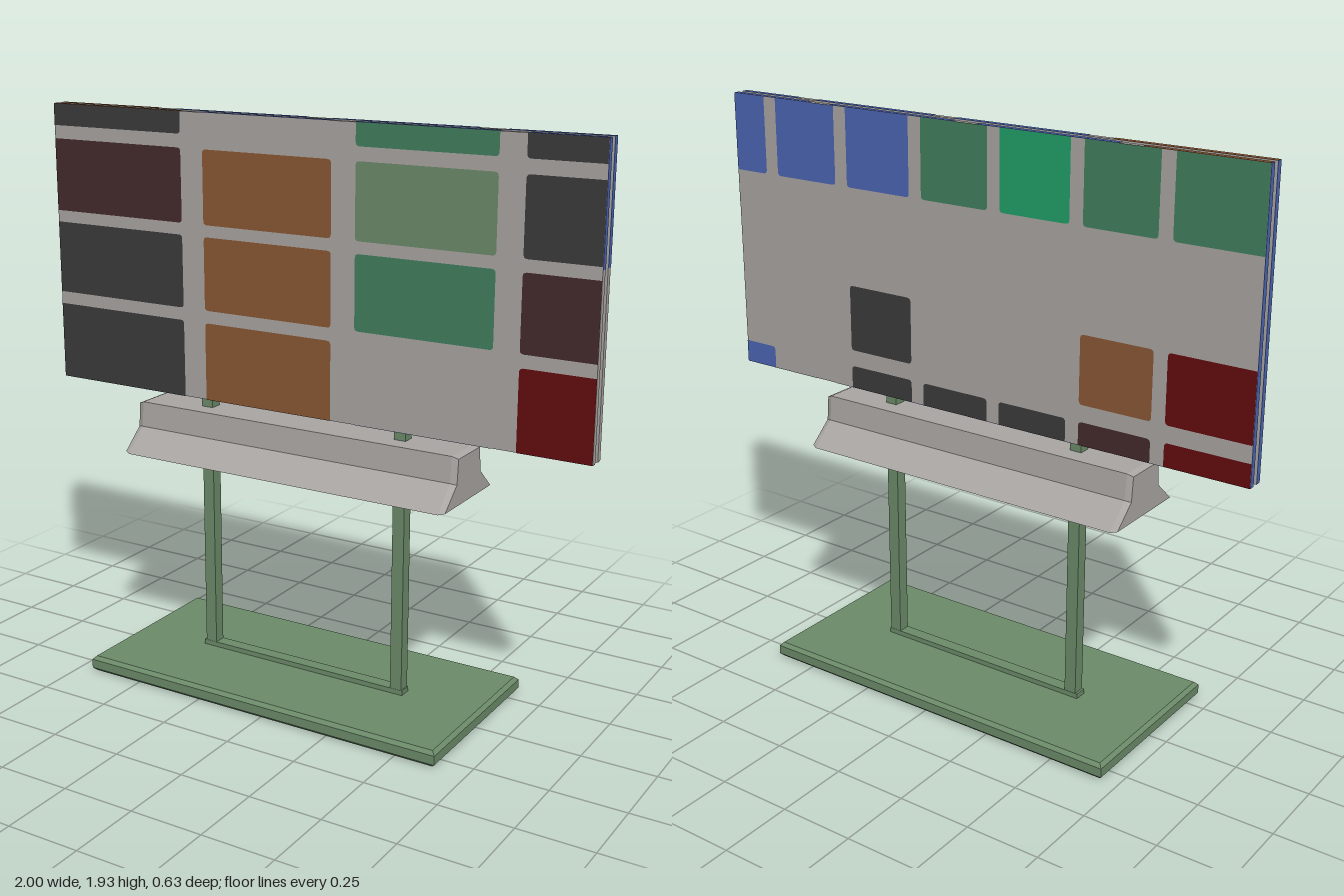
import * as THREE from 'three';

const mat = (name, color) => {
  const m = new THREE.MeshStandardMaterial({ color });
  m.name = name;
  return m;
};

const LEFT = -1, RIGHT = 1, BOTTOM = 0.965, TOP = 1.925; // panel limits
const CENTRE = -0.025; // the stand sits slightly off the panel centre

// Rectangle whose corners are rounded unless they lie on the panel border
function tileShape(x0, x1, y0, y1) {
  const r = (x, y) => (x <= LEFT || x >= RIGHT || y <= BOTTOM || y >= TOP ? 0 : 0.013);
  const a = r(x0, y0), b = r(x1, y0), c = r(x1, y1), d = r(x0, y1);
  const s = new THREE.Shape();
  s.moveTo(x0 + a, y0);
  s.lineTo(x1 - b, y0);
  if (b) s.quadraticCurveTo(x1, y0, x1, y0 + b);
  s.lineTo(x1, y1 - c);
  if (c) s.quadraticCurveTo(x1, y1, x1 - c, y1);
  s.lineTo(x0 + d, y1);
  if (d) s.quadraticCurveTo(x0, y1, x0, y1 - d);
  s.lineTo(x0, y0 + a);
  if (a) s.quadraticCurveTo(x0, y0, x0 + a, y0);
  return s;
}

export function createModel() {
  const model = new THREE.Group();
  model.name = 'displayStand';

  const grey = mat('warm grey', 0xaaa6a3);
  const sage = mat('sage green', 0x6c8c6a);
  const brown = mat('brown', 0x8a5835);
  const dark = mat('charcoal', 0x3b3b3b);
  const maroon = mat('maroon', 0x452b2c);
  const red = mat('dark red', 0x640c0e);
  const green = mat('sea green', 0x42805f);
  const bright = mat('bright green', 0x22a068);
  const blue = mat('blue', 0x4c66b4);

  const add = (parent, name, geometry, material) => {
    const mesh = new THREE.Mesh(geometry, material);
    mesh.name = name;
    parent.add(mesh);
    return mesh;
  };
  // Box given by its limits on each axis
  const box = (parent, name, material, x0, x1, y0, y1, z0, z1) => {
    const m = add(parent, name, new THREE.BoxGeometry(x1 - x0, y1 - y0, z1 - z0), material);
    m.position.set((x0 + x1) / 2, (y0 + y1) / 2, (z0 + z1) / 2);
    return m;
  };

  // Base plate with chamfered edges
  const bev = 0.012;
  const outline = new THREE.Shape([[-0.67, -0.315], [0.67, -0.315], [0.67, 0.315], [-0.67, 0.315]]
    .map(([x, y]) => new THREE.Vector2(x, y)));
  const baseGeo = new THREE.ExtrudeGeometry(outline, {
    depth: 0.055 - 2 * bev, bevelEnabled: true, bevelSegments: 1,
    bevelThickness: bev, bevelSize: bev, bevelOffset: -bev,
  });
  baseGeo.rotateX(-Math.PI / 2).translate(CENTRE, bev, 0);
  add(model, 'basePlate', baseGeo, sage);

  // Post frame: two uprights joined at the foot and between the panels
  const frame = new THREE.Group();
  frame.name = 'postFrame';
  model.add(frame);
  for (const [name, x] of [['rightPost', -0.391], ['leftPost', 0.35]]) {
    box(frame, name, sage, x - 0.021, x + 0.021, 0.05, 1.32, -0.021, 0.021);
  }
  box(frame, 'footBar', sage, -0.42, 0.375, 0.05, 0.072, -0.022, 0.022);
  box(frame, 'topBar', sage, -0.42, 0.375, 1.28, 1.32, -0.02, 0.02);

  // Flared tray: profile across z, extruded along x with chamfered ends
  const profile = new THREE.Shape([[-0.172, 0.772], [0.172, 0.772], [0.091, 0.85], [0.083, 0.936],
    [-0.083, 0.936], [-0.091, 0.85]].map(([x, y]) => new THREE.Vector2(x, y)));
  const endBevel = 0.02;
  const trayGeo = new THREE.ExtrudeGeometry(profile, {
    depth: 1.22 - 2 * endBevel, bevelEnabled: true, bevelSegments: 1,
    bevelThickness: endBevel, bevelSize: 0.008, bevelOffset: -0.008,
  });
  trayGeo.rotateY(Math.PI / 2).translate(CENTRE - 0.61 + endBevel, 0, 0);
  add(model, 'tray', trayGeo, grey);

  // Panel with coloured tiles on its outer face and bands along its edges
  function panel(name, side, columns, rows, colours, bands) {
    const g = new THREE.Group();
    g.name = name;
    model.add(g);
    const z0 = side > 0 ? 0.01 : -0.03, z1 = z0 + 0.02;
    box(g, 'board', grey, LEFT, RIGHT, BOTTOM, TOP, z0, z1);
    rows.forEach(([y0, y1], i) => columns.forEach(([x0, x1], j) => {
      const colour = colours[i][j];
      if (!colour) return;
      // The rear face is drawn mirrored, then turned round
      const shape = side > 0 ? tileShape(x0, x1, y0, y1) : tileShape(-x1, -x0, y0, y1);
      const tile = add(g, 'tile', new THREE.ShapeGeometry(shape, 3), colour);
      tile.rotation.y = side > 0 ? 0 : Math.PI;
      tile.position.z = side * 0.0315;
    }));
    const t = 0.001;
    bands.forEach(([x0, x1], i) => {
      box(g, 'topBand', i ? blue : brown, x0, x1, TOP, TOP + t, z0, z1);
      box(g, 'bottomBand', blue, x0, x1, BOTTOM - t, BOTTOM, z0, z1);
    });
    box(g, 'leftEdgeBand', blue, RIGHT, RIGHT + t, 1.55, TOP, z0, z1);
    box(g, 'rightEdgeBand', blue, LEFT - t, LEFT, BOTTOM, TOP, z0, z1);
  }

  const frontColumns = [[-1, -0.473], [-0.386, 0.1], [0.187, 0.667], [0.754, 1]];
  panel('frontPanel', 1, frontColumns,
    [[1.852, TOP], [1.56, 1.807], [1.273, 1.52], [BOTTOM, 1.23]],
    [
      [dark, null, green, dark],
      [maroon, brown, sage, dark],
      [dark, brown, green, maroon],
      [dark, brown, null, red],
    ], frontColumns);

  // Rear columns run from the model's left to its right
  panel('backPanel', -1,
    [[0.866, 1], [0.56, 0.815], [0.252, 0.51], [-0.055, 0.203], [-0.357, -0.102], [-0.662, -0.405], [-1, -0.71]],
    [[1.663, TOP], [1.1, 1.328], [BOTTOM, 1.043]],
    [
      [blue, blue, blue, green, bright, green, green],
      [null, null, dark, null, null, brown, red],
      [blue, null, dark, dark, dark, maroon, red],
    ],
    [[-1, -0.6], [-0.52, -0.015], [0.08, 0.58], [0.67, 1]]);

  return model;
}
